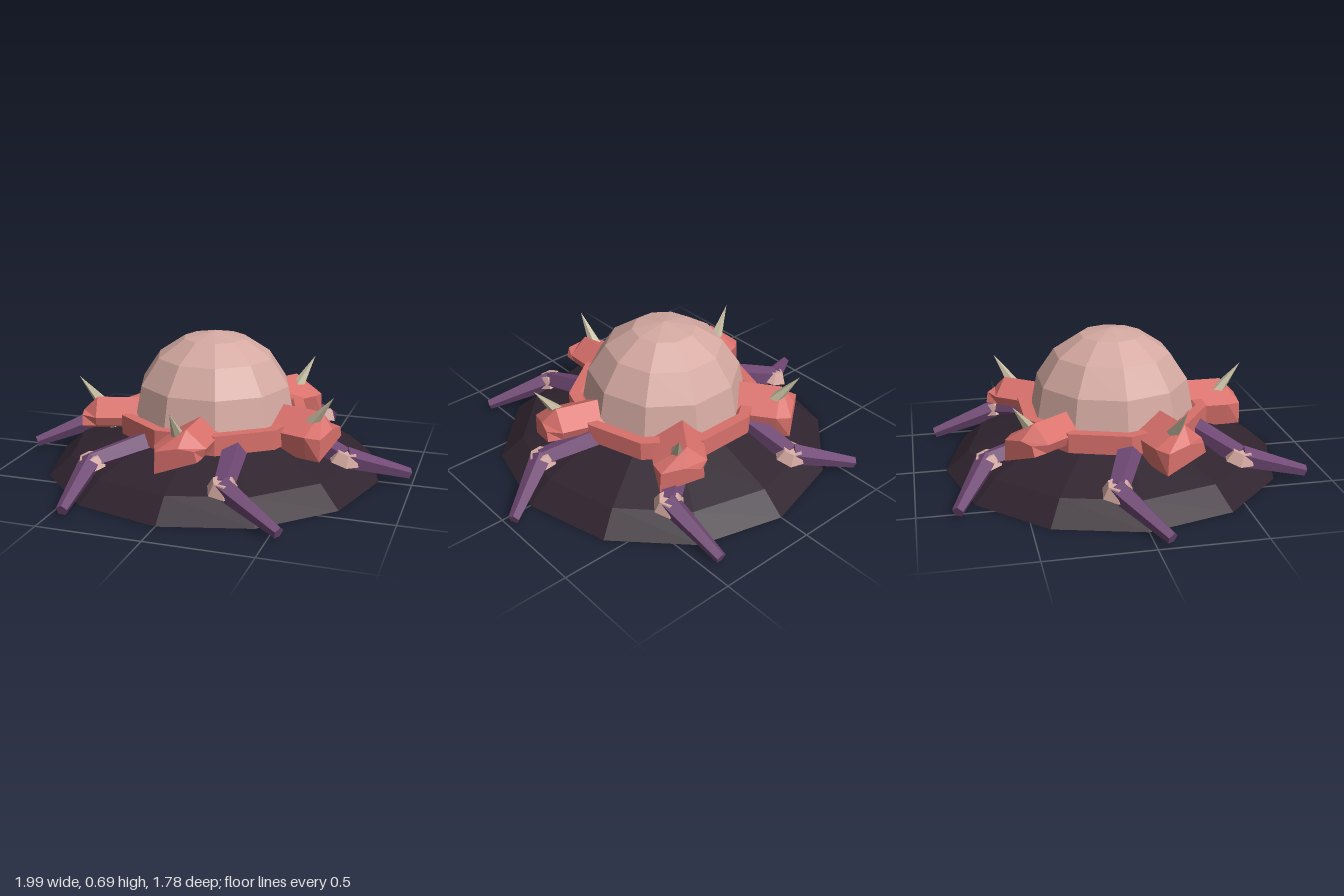
import * as THREE from 'three';

const V = (x, y, z) => new THREE.Vector3(x, y, z);
const material = (name, color) => {
  const m = new THREE.MeshStandardMaterial({ color, flatShading: true });
  m.name = name;
  return m;
};

function part(name, geometry, mat) {
  const mesh = new THREE.Mesh(geometry, mat);
  mesh.name = name;
  return mesh;
}

// Faceted solid of revolution from [radius, height] pairs, listed bottom to top
function lathe(points, sides, start = 0) {
  return new THREE.LatheGeometry(points.map(p => new THREE.Vector2(...p)), sides, start);
}

// Tapered bar from point a to point b
function bar(name, a, b, ra, rb, sides, mat) {
  const dir = b.clone().sub(a);
  const mesh = part(name, new THREE.CylinderGeometry(rb, ra, dir.length(), sides), mat);
  mesh.position.copy(a).add(b).multiplyScalar(0.5);
  mesh.quaternion.setFromUnitVectors(V(0, 1, 0), dir.normalize());
  return mesh;
}

// Closed solid through cross-sections along z, each counter-clockwise seen from +z
function loft(sections) {
  const pos = [];
  const tri = (...pts) => pts.forEach(p => pos.push(...p));
  const n = sections[0].length;
  for (let k = 0; k < sections.length - 1; k++) {
    const s = sections[k], t = sections[k + 1];
    for (let i = 0; i < n; i++) {
      const j = (i + 1) % n;
      tri(s[i], s[j], t[j]);
      tri(s[i], t[j], t[i]);
    }
  }
  const first = sections[0], last = sections[sections.length - 1];
  for (let i = 1; i < n - 1; i++) {
    tri(first[0], first[i + 1], first[i]);
    tri(last[0], last[i], last[i + 1]);
  }
  const g = new THREE.BufferGeometry();
  g.setAttribute('position', new THREE.Float32BufferAttribute(pos, 3));
  g.computeVertexNormals();
  return g;
}

export function createModel() {
  const model = new THREE.Group();
  const dark = material('darkPlum', 0x30242f);
  const purple = material('purple', 0x6f4873);
  const coral = material('coral', 0xd8706b);
  const pink = material('palePink', 0xd4a9a1);
  const bone = material('bone', 0xc6bda0);

  // Flattened base mound with a flat underside
  model.add(part('baseMound',
    lathe([[0, 0], [0.84, 0], [0.725, 0.1], [0.42, 0.215], [0, 0.25]], 12), dark));

  // Ten-sided collar
  model.add(part('collar',
    lathe([[0.36, 0.21], [0.48, 0.21], [0.48, 0.305], [0.425, 0.305], [0.4, 0.28]], 10, Math.PI / 2), coral));

  // Faceted hemisphere
  const arc = [];
  for (let i = 0; i <= 4; i++) {
    const a = i * Math.PI / 8;
    arc.push([0.41 * Math.cos(a), 0.285 + 0.41 * Math.sin(a)]);
  }
  model.add(part('dome', lathe(arc, 10, Math.PI / 2), pink));

  // Five rolled blocks around the collar, each pierced by a spike
  const body = [[-0.1, 0.28], [-0.08, 0.168], [0.135, 0.245], [0.15, 0.29], [0.055, 0.37]];
  const tip = [[-0.07, 0.275], [-0.075, 0.168], [0.13, 0.245], [0.115, 0.295], [0.04, 0.3]];
  const at = (section, z) => section.map(([x, y]) => [x, y, z]);
  const blockGeometry = loft([at(body, 0.37), at(body, 0.585), at(tip, 0.655)]);
  for (let i = 0; i < 5; i++) {
    const g = new THREE.Group();
    g.name = 'spikedBlock';
    g.add(part('block', blockGeometry, coral));
    g.add(bar('spike', V(0.01, 0.225, 0.485), V(0.01, 0.465, 0.675), 0.055, 0, 5, bone));
    g.rotation.y = i * Math.PI * 2 / 5;
    model.add(g);
  }

  // Six bent legs, swept around the base
  const polar = (deg, r, y) => {
    const a = THREE.MathUtils.degToRad(deg);
    return V(r * Math.sin(a), y, r * Math.cos(a));
  };
  for (let i = 0; i < 6; i++) {
    const g = new THREE.Group();
    g.name = 'leg';
    const knee = polar(0, 0.7, 0.145);
    g.add(bar('thigh', polar(12, 0.38, 0.225), knee, 0.065, 0.05, 5, purple));
    g.add(bar('shin', knee, polar(13, 0.98, 0.035), 0.055, 0.028, 5, purple));
    const cap = part('knee', new THREE.CylinderGeometry(0.05, 0.078, 0.055, 6), pink);
    cap.position.copy(knee).setY(0.152);
    cap.rotation.x = 0.25;
    g.add(cap);
    g.rotation.y = THREE.MathUtils.degToRad(21 + 60 * i);
    model.add(g);
  }
  return model;
}
